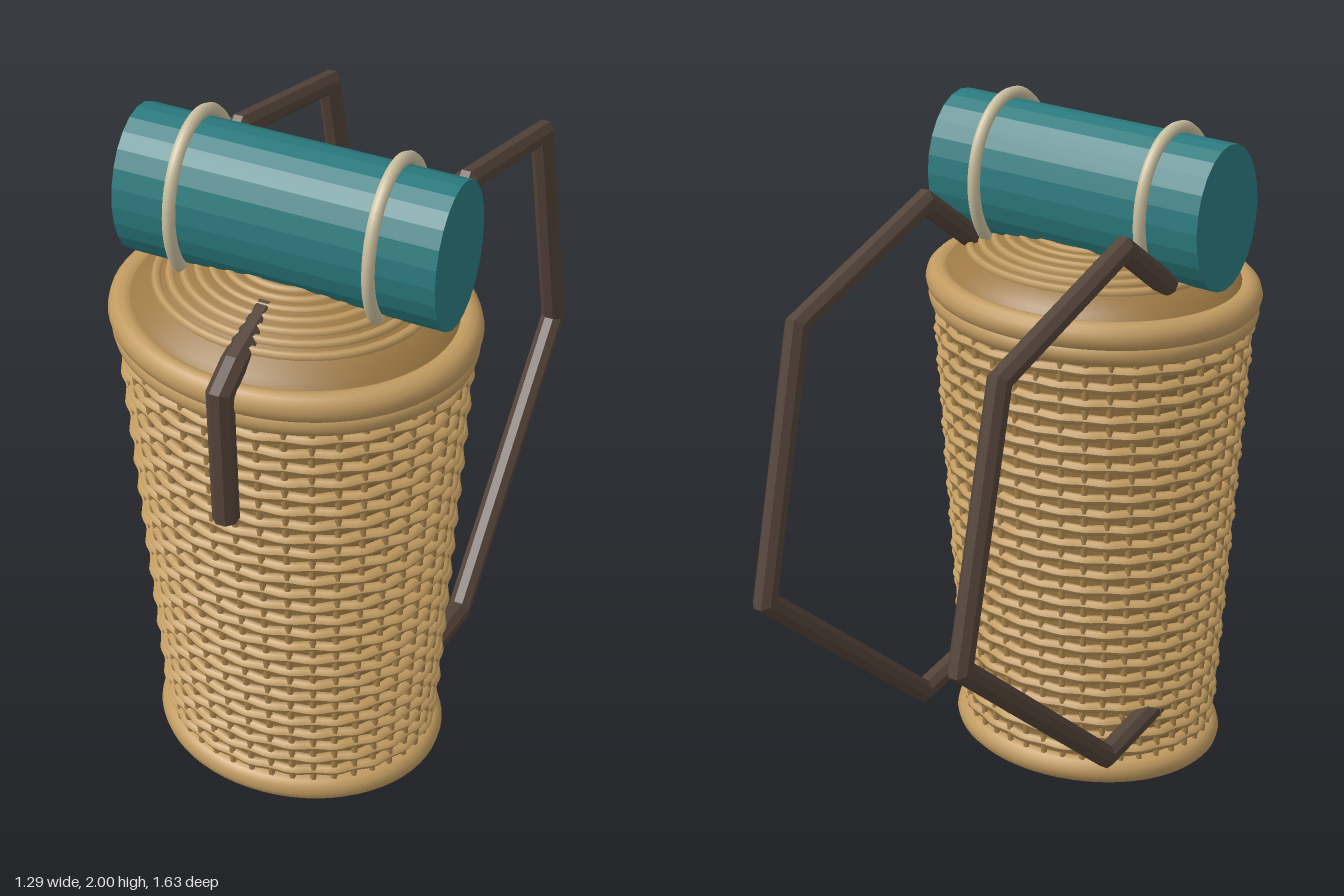
import * as THREE from 'three';

const straw = new THREE.MeshStandardMaterial({ color: 0xc09a60 });
const reed = new THREE.MeshStandardMaterial({ color: 0xa9844d });
const wall = new THREE.MeshStandardMaterial({ color: 0x9c7843, side: THREE.DoubleSide });
const teal = new THREE.MeshStandardMaterial({ color: 0x2b7a7e, flatShading: true });
const cream = new THREE.MeshStandardMaterial({ color: 0xcabf9f });
const leather = new THREE.MeshStandardMaterial({ color: 0x54443a, flatShading: true });

function add(parent, name, geometry, material) {
  const mesh = new THREE.Mesh(geometry, material);
  mesh.name = name;
  parent.add(mesh);
  return mesh;
}

// Horizontal ring at height y
function ring(radius, tube, y, sides = 8, segments = 64) {
  return new THREE.TorusGeometry(radius, tube, sides, segments).rotateX(Math.PI / 2).translate(0, y, 0);
}

// Mitred strap along [z, y] points in the plane of constant x
function strapGeometry(points, x, radius, sides = 8) {
  const pts = points.map(([z, y]) => new THREE.Vector2(z, y));
  const pos = [], index = [], last = pts.length - 1;
  pts.forEach((p, i) => {
    const before = p.clone().sub(pts[Math.max(i - 1, 0)]).normalize();
    const after = pts[Math.min(i + 1, last)].clone().sub(p).normalize();
    const t = before.clone().add(after).normalize();
    const mitre = 1 / t.dot(i < last ? after : before);
    for (let k = 0; k < sides; k++) {
      const a = (k + 0.5) / sides * Math.PI * 2;
      const n = Math.sin(a) * radius * mitre;
      pos.push(x + Math.cos(a) * radius, p.y + n * t.x, p.x - n * t.y);
    }
  });
  const first = pos.length / 3;
  for (const p of [pts[0], pts[last]]) pos.push(x, p.y, p.x);
  for (let k = 0; k < sides; k++) {
    const n = (k + 1) % sides;
    for (let i = 0; i < last; i++) {
      const a = i * sides, b = a + sides;
      index.push(a + k, a + n, b + n, a + k, b + n, b + k);
    }
    index.push(first, n, k, first + 1, last * sides + k, last * sides + n);
  }
  const g = new THREE.BufferGeometry();
  g.setAttribute('position', new THREE.Float32BufferAttribute(pos, 3));
  g.setIndex(index);
  const flat = g.toNonIndexed();
  flat.computeVertexNormals();
  return flat;
}

const radiusAt = y => 0.388 + (y - 0.1) / 1.28 * 0.08;

function buildBasket() {
  const basket = new THREE.Group();
  basket.name = 'basket';
  basket.scale.z = 0.855;

  // Inner wall and base
  const profile = [[0, 0.02], [0.38, 0.02], [0.37, 0.06], [0.452, 1.45]];
  add(basket, 'wall', new THREE.LatheGeometry(profile.map(p => new THREE.Vector2(...p)), 64), wall);

  // Upright stakes
  const stakes = new THREE.Group();
  stakes.name = 'stakes';
  basket.add(stakes);
  const count = 40, y0 = 0.05, y1 = 1.42;
  const stake = new THREE.CylinderGeometry(0.01, 0.01, y1 - y0, 6);
  const lean = Math.atan((radiusAt(y1) - radiusAt(y0)) / (y1 - y0));
  stake.rotateZ(-lean).translate((radiusAt(y0) + radiusAt(y1)) / 2, (y0 + y1) / 2, 0);
  for (let i = 0; i < count; i++) {
    add(stakes, 'stake', stake, reed).rotation.y = i / count * Math.PI * 2;
  }

  // Woven rows, passing in and out of the stakes
  const rows = new THREE.Group();
  rows.name = 'wovenRows';
  basket.add(rows);
  for (let i = 0; i < 26; i++) {
    const y = 0.11 + i * 0.05;
    const g = ring(radiusAt(y), 0.016, y, 6, 120);
    const p = g.attributes.position;
    for (let v = 0; v < p.count; v++) {
      const x = p.getX(v), z = p.getZ(v);
      const s = 1 + 0.01 * Math.cos(Math.atan2(z, x) * count / 2 + i * Math.PI);
      p.setX(v, x * s);
      p.setZ(v, z * s);
    }
    g.computeVertexNormals();
    add(rows, 'wovenRow', g, straw);
  }

  // Thick rims
  add(basket, 'baseRim', ring(0.381, 0.04, 0.04, 12), straw);
  add(basket, 'lowerTopRim', ring(0.461, 0.036, 1.415, 12), straw);
  add(basket, 'upperTopRim', ring(0.462, 0.043, 1.465, 12), straw);

  // Domed lid with coils
  const dome = [[0.46, 1.48], [0.43, 1.52], [0.38, 1.555], [0.25, 1.605], [0.13, 1.625], [0, 1.63]];
  const curve = dome.map(p => new THREE.Vector2(...p));
  add(basket, 'lid', new THREE.LatheGeometry(curve, 64), wall);
  for (let i = 0; i < 10; i++) {
    const r = 0.37 - i * 0.038;
    const y = 1.63 - 0.07 * (r / 0.37) ** 1.8;
    add(basket, 'lidCoil', ring(r, 0.014, y, 6, 48), straw);
  }
  return basket;
}

function buildBedroll() {
  const roll = new THREE.Group();
  roll.name = 'bedroll';
  roll.position.set(0, 1.755, -0.02);
  const body = new THREE.CylinderGeometry(0.21, 0.21, 0.9, 24).rotateZ(Math.PI / 2).scale(1, 1, 0.77);
  add(roll, 'rolledBlanket', body, teal);
  // Two cords tied round the roll
  for (const side of [-1, 1]) {
    const points = [];
    for (let k = 0; k < 32; k++) {
      const a = k / 32 * Math.PI * 2;
      points.push(new THREE.Vector3(0, Math.cos(a) * 0.226, Math.sin(a) * 0.177));
    }
    const path = new THREE.CatmullRomCurve3(points, true);
    add(roll, 'cord', new THREE.TubeGeometry(path, 64, 0.018, 8, true), cream).position.x = side * 0.277;
  }
  return roll;
}

export function createModel() {
  const model = new THREE.Group();
  model.name = 'packBasket';
  const pack = new THREE.Group();
  pack.name = 'turnedPack';
  pack.position.set(-0.16, 0, 0.37);
  pack.rotation.y = -0.43;
  model.add(pack);
  pack.add(buildBasket(), buildBedroll());

  // Shoulder straps
  const strapPath = [[-0.13, 1.57], [-0.36, 1.745], [-0.93, 1.565], [-1.11, 0.81], [-0.405, 0.195], [-0.14, 0.24]];
  for (const side of [-1, 1]) {
    add(pack, 'shoulderStrap', strapGeometry(strapPath, side * 0.33, 0.034), leather);
  }
  // Lid strap hanging over the front rim
  const flapPath = [[0.43, 1.09], [0.438, 1.5], [0.36, 1.54], [0.17, 1.585]];
  add(pack, 'lidStrap', strapGeometry(flapPath, 0, 0.036), leather);
  return model;
}
